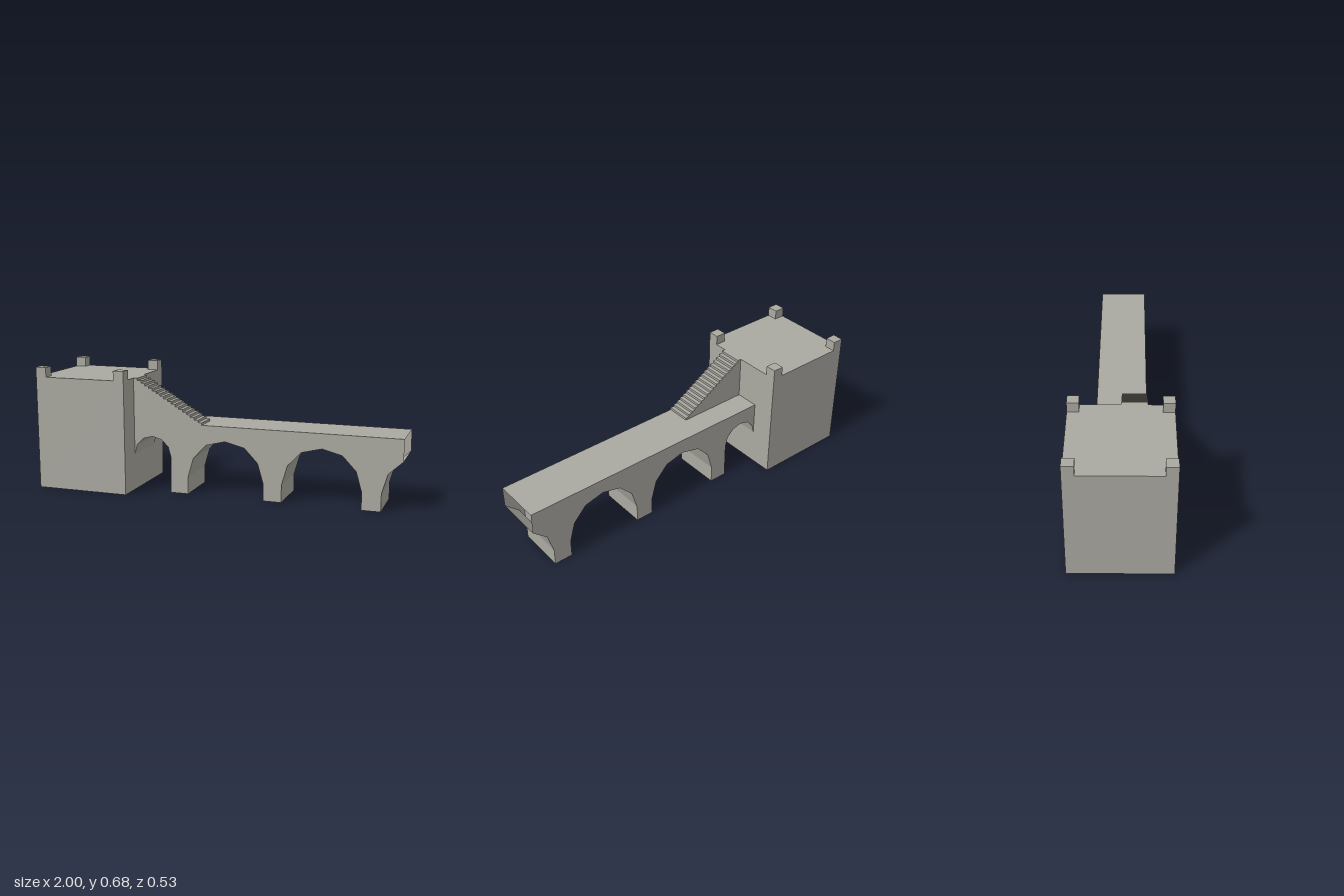
import * as THREE from 'three';

const HALF = 0.132;      // half width of the bridge
const DECK = 0.388;      // deck height
const TOWER_X = -0.475;  // tower face that meets the bridge
const TOP = 0.625;       // tower roof height

export function createModel() {
  const stone = new THREE.MeshStandardMaterial({ color: 0xaaa9a1, side: THREE.DoubleSide });
  stone.name = 'stone';
  const root = new THREE.Group();
  root.name = 'bridgeWithTower';

  function add(geometry, name, parent = root) {
    const mesh = new THREE.Mesh(geometry, stone);
    mesh.name = name;
    parent.add(mesh);
    return mesh;
  }

  // Flat-faceted sheet: an x-y path swept from z0 to z1
  function strip(path, z0, z1) {
    const p = [];
    for (let i = 0; i < path.length - 1; i++) {
      const [ax, ay] = path[i], [bx, by] = path[i + 1];
      p.push(ax, ay, z1, bx, by, z1, bx, by, z0, ax, ay, z1, bx, by, z0, ax, ay, z0);
    }
    const g = new THREE.BufferGeometry();
    g.setAttribute('position', new THREE.Float32BufferAttribute(p, 3));
    g.computeVertexNormals();
    return g;
  }

  // Upright wall with an x-y outline
  function wall(outline, z) {
    const shape = new THREE.Shape(outline.map(([x, y]) => new THREE.Vector2(x, y)));
    return new THREE.ShapeGeometry(shape).translate(0, 0, z);
  }

  // Tower: box with an open underside
  const tower = new THREE.Group();
  tower.name = 'tower';
  root.add(tower);
  const w = 1 + TOWER_X, d = 0.526;
  const body = new THREE.BoxGeometry(w, TOP, d);
  const index = Array.from(body.index.array);
  index.splice(18, 6);
  body.setIndex(index);
  body.clearGroups();
  add(body, 'towerBody', tower).position.set(-1 + w / 2, TOP / 2, 0);

  // Corner posts on the roof
  for (const x of [-0.97, TOWER_X - 0.03]) {
    for (const z of [-0.233, 0.233]) {
      add(new THREE.BoxGeometry(0.06, 0.053, 0.06), 'cornerPost', tower).position.set(x, TOP + 0.0265, z);
    }
  }

  // Arch outlines: small round arch by the tower, two full arches, one cut half arch
  const small = [];
  for (let i = 0; i <= 6; i++) {
    const a = Math.PI * (1 - i / 6);
    small.push([-0.368 + 0.107 * Math.cos(a), 0.2 + 0.107 * Math.sin(a)]);
  }
  small.push([-0.261, 0]);
  const half = [[-0.213, 0], [-0.213, 0.095], [-0.182, 0.202], [-0.108, 0.28]];
  const full = [...half, [0, 0.307], ...half.map(([x, y]) => [-x, y]).reverse()];
  const arches = [
    small,
    full.map(([x, y]) => [x + 0.052, y]),
    full.map(([x, y]) => [x + 0.579, y]),
    [[0.893, 0], [0.893, 0.095], [0.924, 0.202], [1, 0.272]],
  ];
  const bridge = new THREE.Group();
  bridge.name = 'bridge';
  root.add(bridge);
  for (const arch of arches) add(strip(arch, -HALF, HALF), 'archUnderside', bridge);

  // Side walls and deck; the far end stays open
  const side = [[TOWER_X, DECK], ...arches.flat(), [1, DECK]];
  add(wall(side, HALF), 'frontWall', bridge);
  add(wall(side, -HALF), 'backWall', bridge);
  add(strip([[1, DECK], [TOWER_X, DECK]], -HALF, HALF), 'deck', bridge);

  // Pier cores inside the hollow bridge
  for (const [l, r] of [[-0.261, -0.161], [0.265, 0.366], [0.792, 0.893]]) {
    add(strip([[r, 0.095], [r, 0.353], [l, 0.353], [l, 0.095]], -HALF, HALF), 'pierCore', bridge);
  }

  // Stairs up to the tower roof, on the front half of the deck
  const steps = 18, run = 0.395 / steps, rise = (TOP - DECK) / steps;
  const flight = [[TOWER_X, TOP]];
  for (let i = 0; i < steps; i++) {
    const x = TOWER_X + (i + 1) * run;
    flight.push([x, TOP - i * rise], [x, TOP - (i + 1) * rise]);
  }
  const stairs = new THREE.Group();
  stairs.name = 'stairs';
  root.add(stairs);
  add(strip(flight.slice().reverse(), 0, HALF), 'steps', stairs);
  for (const z of [0, HALF]) add(wall([...flight, [TOWER_X, DECK]], z), 'stairSide', stairs);

  return root;
}
